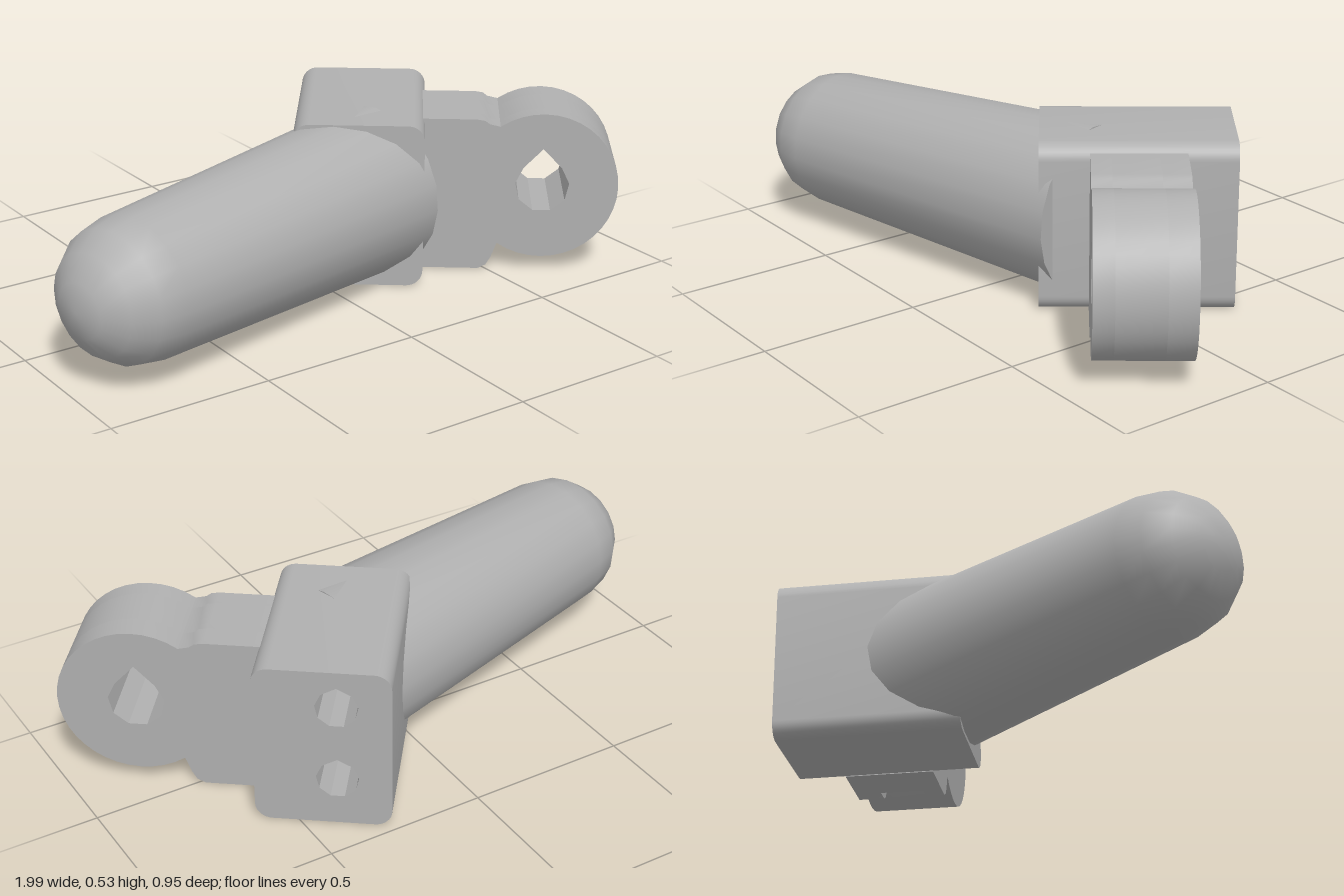
import * as THREE from 'three';
import { toCreasedNormals } from 'three/addons/utils/BufferGeometryUtils.js';

const grey = new THREE.MeshStandardMaterial({ color: 0xb0b0b0 });
grey.name = 'plain grey';

function addMesh(parent, name, geometry) {
  const mesh = new THREE.Mesh(toCreasedNormals(geometry, 0.65), grey);
  mesh.name = name;
  parent.add(mesh);
  return mesh;
}

// Coarse round hole with a pointed top, printable without support
function pointedHole(cx, cy, r, tip) {
  const points = [new THREE.Vector2(cx, cy + r * tip)];
  for (let i = 0; i <= 7; i++) {
    const a = Math.PI * (0.75 + (1.5 * i) / 7);
    points.push(new THREE.Vector2(cx + r * Math.cos(a), cy + r * Math.sin(a)));
  }
  return new THREE.Path(points);
}

function extrude(shape, z0, z1, curveSegments) {
  return new THREE.ExtrudeGeometry(shape, { depth: z1 - z0, bevelEnabled: false, curveSegments })
    .translate(0, 0, z0);
}

function roundedRect(x0, y0, x1, y1, r) {
  const s = new THREE.Shape();
  s.absarc(x1 - r, y0 + r, r, -Math.PI / 2, 0);
  s.absarc(x1 - r, y1 - r, r, 0, Math.PI / 2);
  s.absarc(x0 + r, y1 - r, r, Math.PI / 2, Math.PI);
  s.absarc(x0 + r, y0 + r, r, Math.PI, Math.PI * 1.5);
  return s;
}

// Neck and eye outline; the notched version leaves out the bottom lip
function eyeShape(notched) {
  const s = new THREE.Shape();
  s.moveTo(0.3, 0.5);
  s.lineTo(0.3, 0.005);
  if (notched) {
    s.lineTo(0.46, 0.005);
    s.lineTo(0.46, 0.093);
  } else {
    s.lineTo(0.51, 0.005);
    s.lineTo(0.535, 0.018);
    s.lineTo(0.55, 0.045);
  }
  s.absarc(0.702, 0.285, 0.235, -2.18, 2.18);
  s.lineTo(0.535, 0.485);
  s.lineTo(0.52, 0.496);
  s.lineTo(0.495, 0.5);
  s.holes.push(pointedHole(0.702, 0.285, 0.084, 1.45));
  return s;
}

export function createModel() {
  const model = new THREE.Group();
  model.name = 'angledHandle';

  // Tapered handle with a domed tip
  const tipRadius = 0.215, length = 1.043;
  const profile = [];
  for (let i = 0; i <= 4; i++) {
    const a = (i / 4) * Math.PI / 2;
    profile.push(new THREE.Vector2(tipRadius * Math.sin(a), -tipRadius * Math.cos(a)));
  }
  profile.push(new THREE.Vector2(0.263, length), new THREE.Vector2(0, length));
  const handle = addMesh(model, 'handle', new THREE.LatheGeometry(profile, 20));
  handle.position.set(-0.785, 0.267, 0.255);
  handle.quaternion.setFromUnitVectors(
    new THREE.Vector3(0, 1, 0), new THREE.Vector3(1.009, 0, -0.266).normalize());

  // Mount, turned against the handle
  const mount = new THREE.Group();
  mount.name = 'mount';
  mount.rotation.y = -0.6536;
  model.add(mount);

  // Clamp block with two long bores
  const block = roundedRect(-0.066, 0.005, 0.335, 0.525, 0.05);
  for (const y of [0.16, 0.405]) block.holes.push(pointedHole(0.092, y, 0.063, 1.08));
  addMesh(mount, 'block', extrude(block, -0.555, 0.023, 4));

  // Eye on a short neck, in three slices with a notch under the middle one
  const cuts = [-0.407, -0.325, -0.185, -0.125];
  for (let i = 0; i < 3; i++) {
    addMesh(mount, i === 1 ? 'eyeMiddle' : 'eyeSide', extrude(eyeShape(i === 1), cuts[i], cuts[i + 1], 14));
  }

  return model;
}
